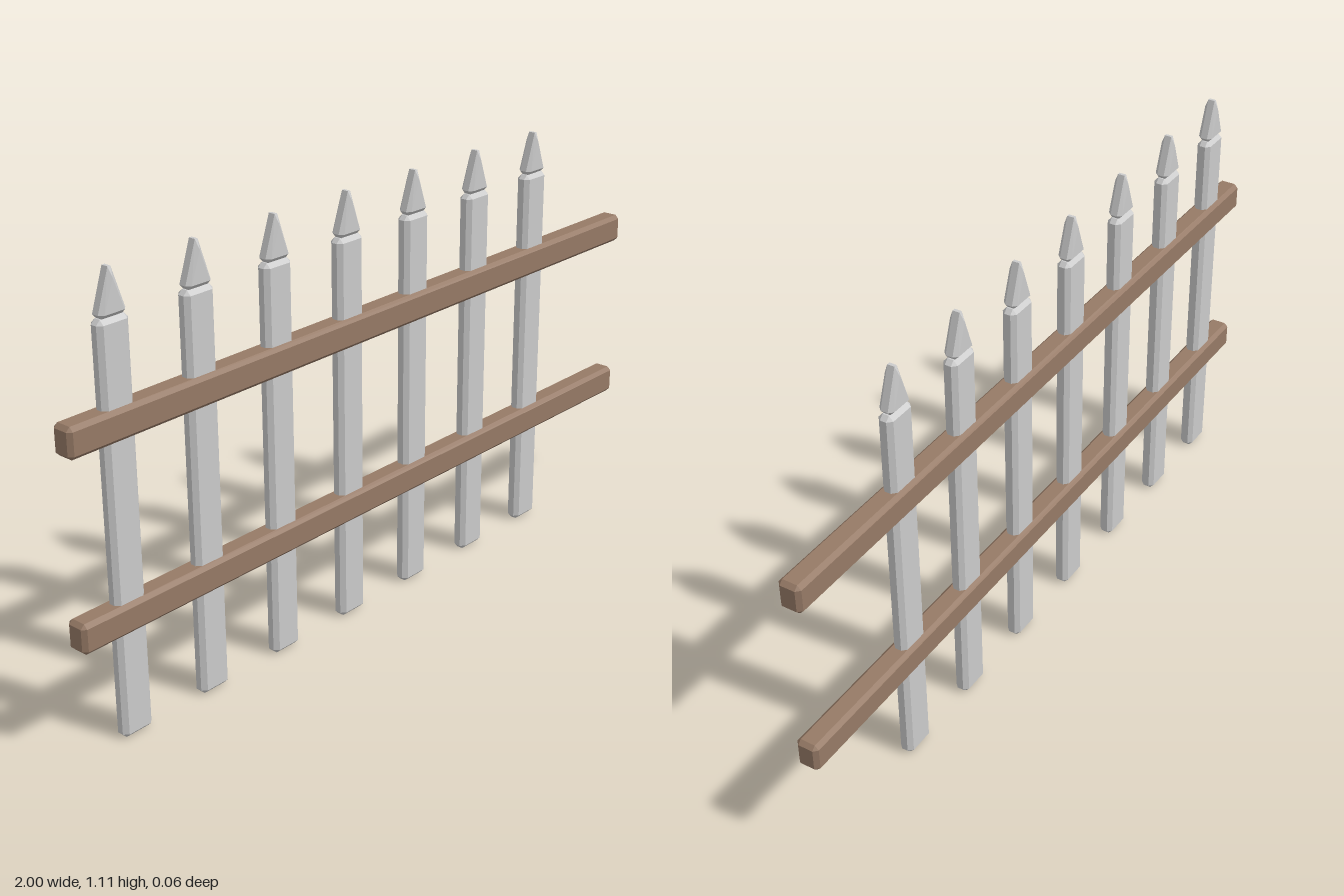
import * as THREE from 'three';
import { ConvexGeometry } from 'three/addons/geometries/ConvexGeometry.js';

const SIGNS = [-1, 1];

// Box with every edge and corner chamfered by c
function chamferBox(w, h, d, c) {
  const [x, y, z] = [w / 2, h / 2, d / 2];
  const points = [];
  for (const sx of SIGNS) for (const sy of SIGNS) for (const sz of SIGNS) {
    points.push(
      new THREE.Vector3(sx * x, sy * (y - c), sz * (z - c)),
      new THREE.Vector3(sx * (x - c), sy * y, sz * (z - c)),
      new THREE.Vector3(sx * (x - c), sy * (y - c), sz * z)
    );
  }
  return new ConvexGeometry(points);
}

// Triangular prism with chamfered edges, standing on y = 0
function chamferTip() {
  const points = [];
  for (const sz of SIGNS) {
    points.push(new THREE.Vector3(0, 0.085, sz * 0.019));
    for (const sx of SIGNS) {
      points.push(
        new THREE.Vector3(sx * 0.027, 0.01, sz * 0.019),
        new THREE.Vector3(sx * 0.028, 0, sz * 0.009),
        new THREE.Vector3(sx * 0.037, 0.01, sz * 0.009),
        new THREE.Vector3(sx * 0.004, 0.108, sz * 0.009)
      );
    }
  }
  return new ConvexGeometry(points);
}

export function createModel() {
  const fence = new THREE.Group();
  fence.name = 'picketFence';
  const paint = new THREE.MeshStandardMaterial({ color: 0xcccccc, flatShading: true });
  const wood = new THREE.MeshStandardMaterial({ color: 0x967a66, flatShading: true });

  const add = (parent, name, geometry, material, x, y) => {
    const mesh = new THREE.Mesh(geometry, material);
    mesh.name = name;
    mesh.position.set(x, y, 0);
    parent.add(mesh);
  };

  // Seven pickets, evenly spaced, with a longer bare rail on the +x end
  const boardGeometry = chamferBox(0.086, 1, 0.038, 0.011);
  const tipGeometry = chamferTip();
  for (let i = 0; i < 7; i++) {
    const picket = new THREE.Group();
    picket.name = `picket${i + 1}`;
    picket.position.x = -0.852 + i * 0.243;
    add(picket, 'board', boardGeometry, paint, 0, 0.5);
    add(picket, 'tip', tipGeometry, paint, 0, 1);
    fence.add(picket);
  }

  // Two horizontal rails wrapping the pickets
  const railGeometry = chamferBox(2, 0.075, 0.058, 0.01);
  add(fence, 'lowerRail', railGeometry, wood, 0, 0.303);
  add(fence, 'upperRail', railGeometry, wood, 0, 0.763);

  return fence;
}
